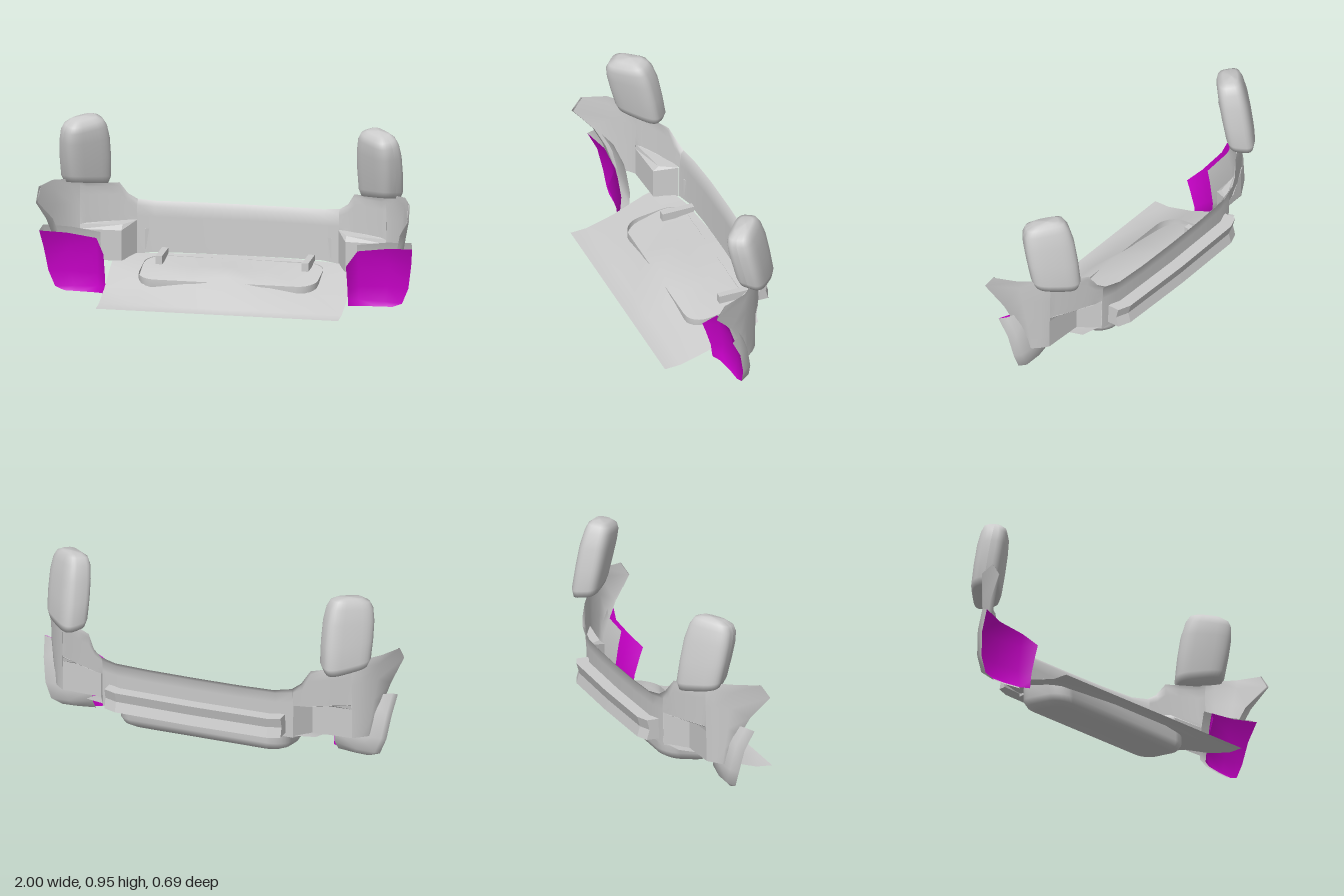
import * as THREE from 'three';

const grey = new THREE.MeshStandardMaterial({ color: 0xcccccc, side: THREE.DoubleSide });
const flatGrey = new THREE.MeshStandardMaterial({ color: 0xcccccc, side: THREE.DoubleSide, flatShading: true });
const magenta = new THREE.MeshStandardMaterial({ color: 0xcc00cc, side: THREE.DoubleSide });

// Surface through a list of cross-sections, each a list of [x, y, z]
function loft(sections) {
  const n = sections[0].length;
  const index = [];
  for (let i = 0; i < sections.length - 1; i++) {
    for (let j = 0; j < n - 1; j++) {
      const a = i * n + j, b = a + n;
      index.push(a, b, a + 1, b, b + 1, a + 1);
    }
  }
  const g = new THREE.BufferGeometry();
  g.setAttribute('position', new THREE.Float32BufferAttribute(sections.flat(2), 3));
  g.setIndex(index);
  g.computeVertexNormals();
  return g;
}

function part(name, geometry, material = grey) {
  const m = new THREE.Mesh(geometry, material);
  m.name = name;
  return m;
}

// Right-hand sections mirrored to a full span from -x to +x
const mirrorSections = (half) => [
  ...half.slice(half[0][0][0] === 0 ? 1 : 0).reverse().map((s) => s.map(([x, y, z]) => [-x, y, z])),
  ...half,
];

// Rear panel, sweeping round into the two quarter panels, notched above the corner pockets
function rearPanel() {
  const columns = [ // x, z, bottom height, top height, lip depth
    [0, -0.265, 0.175, 0.445, 0.03], [0.25, -0.262, 0.175, 0.445, 0.03], [0.45, -0.25, 0.175, 0.445, 0.03],
    [0.54, -0.233, 0.165, 0.457, 0.025], [0.542, -0.233, 0.35, 0.457, 0.025], [0.59, -0.22, 0.35, 0.49, 0.02],
    [0.63, -0.2, 0.35, 0.555, 0.01], [0.7, -0.17, 0.35, 0.56, 0], [0.79, -0.12, 0.35, 0.565, 0],
    [0.82, -0.1, 0.345, 0.58, 0], [0.822, -0.1, 0.155, 0.58, 0], [0.86, -0.07, 0.155, 0.6, 0],
  ];
  const steps = [0, 0.2, 0.45, 0.7, 0.9, 1];
  const half = columns.map(([x, z, bottom, top, lip]) => steps.map((t) =>
    [x, bottom + (top - bottom) * t, z - (t === 1 ? lip : 0.008 * t)]));
  // quarter panel flares out towards its top
  half.push(steps.map((t) => [0.885 + 0.06 * t, 0.15 + 0.46 * t, -0.035 + 0.045 * t]));
  // front edge follows the wheel arch and turns inwards
  const edge = [[0.9, 0.15, 0], [0.92, 0.22, 0.01], [0.94, 0.32, 0.04],
    [0.965, 0.42, 0.09], [1, 0.53, 0.19], [0.995, 0.605, 0.14]];
  half.push(edge, edge.map(([x, y, z], i) => [x - (i < 4 ? 0.035 : 0.01), y, z - 0.005]));
  return part('rearPanel', loft(mirrorSections(half)));
}

// Boot floor, ridged along the middle
function bootFloor() {
  const rows = [ // z, middle height, edge height
    [0.34, 0.01, 0.01], [0.25, 0.015, 0.015], [0.1, 0.155, 0.06], [-0.08, 0.158, 0.14],
  ];
  const half = [0, 0.2, 0.45, 0.65].map((x) => {
    const t = x / 0.65;
    return [...rows.map(([z, mid, edge]) => [x, mid + (edge - mid) * t, z]),
      [x, 0.175 - 0.005 * t, -0.265 + 0.075 * t ** 3]];
  });
  return part('bootFloor', loft(mirrorSections(half)));
}

// Wheel well hanging under the floor
function wheelWell() {
  const ring = (inset, height) => {
    const hx = 0.48 - inset, hz = 0.165 - inset, r = Math.max(0.1 - inset * 0.5, 0.03);
    const points = [];
    [[1, 1], [-1, 1], [-1, -1], [1, -1]].forEach(([sx, sz], q) => {
      for (let k = 0; k <= 6; k++) {
        const a = (q + k / 6) * Math.PI / 2;
        const z = -0.045 + sz * (hz - r) + r * Math.sin(a);
        points.push([sx * (hx - r) + r * Math.cos(a), height(z), z]);
      }
    });
    points.push(points[0]);
    return points;
  };
  const base = (lift) => (z) => 0.012 - 0.17 * z + lift;
  const rings = [
    ring(0, (z) => 0.141 - 0.136 * z), ring(0, base(0.05)),
    ring(0.018, base(0.018)), ring(0.055, base(0)),
  ];
  rings.push(rings[3].map(() => [0, 0.02, -0.045]));
  return part('wheelWell', loft(rings));
}

// Bumper beam with a grooved back face
function bumperBeam() {
  const half = [[0, 0], [0.43, 0.008], [0.5, 0.035]].map(([x, dz]) => [
    [x, 0.3, -0.275 + dz], [x, 0.3, -0.345 + dz], [x, 0.245, -0.33 + dz],
    [x, 0.19, -0.345 + dz], [x, 0.19, -0.275 + dz], [x, 0.3, -0.275 + dz],
  ]);
  const sections = mirrorSections(half);
  // end caps
  const cap = (s) => s.map(() => [s[0][0], 0.245, -0.26]);
  return part('bumperBeam', loft([cap(sections[0]), ...sections, cap(sections.at(-1))]), flatGrey);
}

// Rounded lamp housing, turned outwards and leaning forwards
function lamp() {
  const levels = [ // height, z centre, scale, tilt
    [0.572, -0.118, 0, 0.2], [0.572, -0.118, 0.88, 0.22], [0.61, -0.115, 1, 0.18], [0.72, -0.092, 1.03, 0.1],
    [0.82, -0.07, 1.01, -0.05], [0.89, -0.052, 0.92, -0.15], [0.925, -0.045, 0.77, -0.2],
    [0.943, -0.05, 0.5, -0.15], [0.95, -0.06, 0, 0],
  ];
  const turn = 0.72;
  const pow = (v) => Math.sign(v) * Math.abs(v) ** 0.58;
  const sections = levels.map(([y, zc, s, tilt]) => Array.from({ length: 33 }, (_, k) => {
    const a = k / 32 * Math.PI * 2;
    const u = 0.132 * s * pow(Math.cos(a)), v = 0.078 * s * pow(Math.sin(a));
    const dz = u * Math.sin(turn) + v * Math.cos(turn);
    return [0.79 + u * Math.cos(turn) - v * Math.sin(turn), y + tilt * dz, zc + dz];
  }));
  return part('lamp', loft(sections));
}

// Corner pocket: inner wall, front wall and roof, open behind and below
function cornerPocket() {
  const sections = [
    [[0.54, 0.165, -0.23], [0.54, 0.35, -0.23], [0.54, 0.35, -0.23], [0.54, 0.35, -0.23]],
    [[0.6, 0.155, -0.11], [0.6, 0.32, -0.11], [0.6, 0.345, -0.14], [0.6, 0.35, -0.22]],
    [[0.82, 0.155, -0.1], [0.82, 0.32, -0.1], [0.82, 0.345, -0.105], [0.82, 0.35, -0.11]],
  ];
  return part('cornerPocket', loft(sections), flatGrey);
}

// Wheel arch liner with its outer bumper corner
function bumperCorner() {
  const columns = [
    [[1, 0.355, 0.1], [0.985, 0.25, 0.05], [0.965, 0.12, 0.025], [0.93, 0.035, 0.02], [0.88, 0.016, 0.025]],
    [[0.86, 0.34, 0.06], [0.86, 0.25, 0.03], [0.85, 0.12, 0.01], [0.83, 0.04, 0.015], [0.8, 0.016, 0.03]],
    [[0.7, 0.32, 0.065], [0.7, 0.25, 0.05], [0.7, 0.12, 0.03], [0.7, 0.05, 0.035], [0.7, 0.018, 0.045]],
    [[0.65, 0.25, 0.128], [0.65, 0.2, 0.11], [0.65, 0.1, 0.08], [0.65, 0.06, 0.075], [0.65, 0.02, 0.07]],
  ];
  // shell behind the liner
  const back = columns.slice(0, 3).map((c) => c.map(([x, y, z], i) =>
    [x - 0.012, y + (i < 4 ? 0.022 : 0), z - (i < 4 ? 0.045 : 0.01)]));
  const group = new THREE.Group();
  group.name = 'bumperCorner';
  group.add(part('archLiner', loft(columns), magenta), part('cornerShell', loft([columns[0], ...back])));
  return group;
}

// Short rail standing on the floor
function rail() {
  const g = new THREE.BoxGeometry(0.035, 0.045, 0.18);
  g.translate(0.392, 0.18, -0.16);
  return part('rail', g, flatGrey);
}

export function createModel() {
  const model = new THREE.Group();
  model.name = 'rearBody';
  model.add(rearPanel(), bootFloor(), wheelWell(), bumperBeam());
  for (const side of [1, -1]) {
    const group = new THREE.Group();
    group.name = side > 0 ? 'leftSide' : 'rightSide';
    group.add(lamp(), cornerPocket(), bumperCorner(), rail());
    group.scale.x = side;
    model.add(group);
  }
  return model;
}
